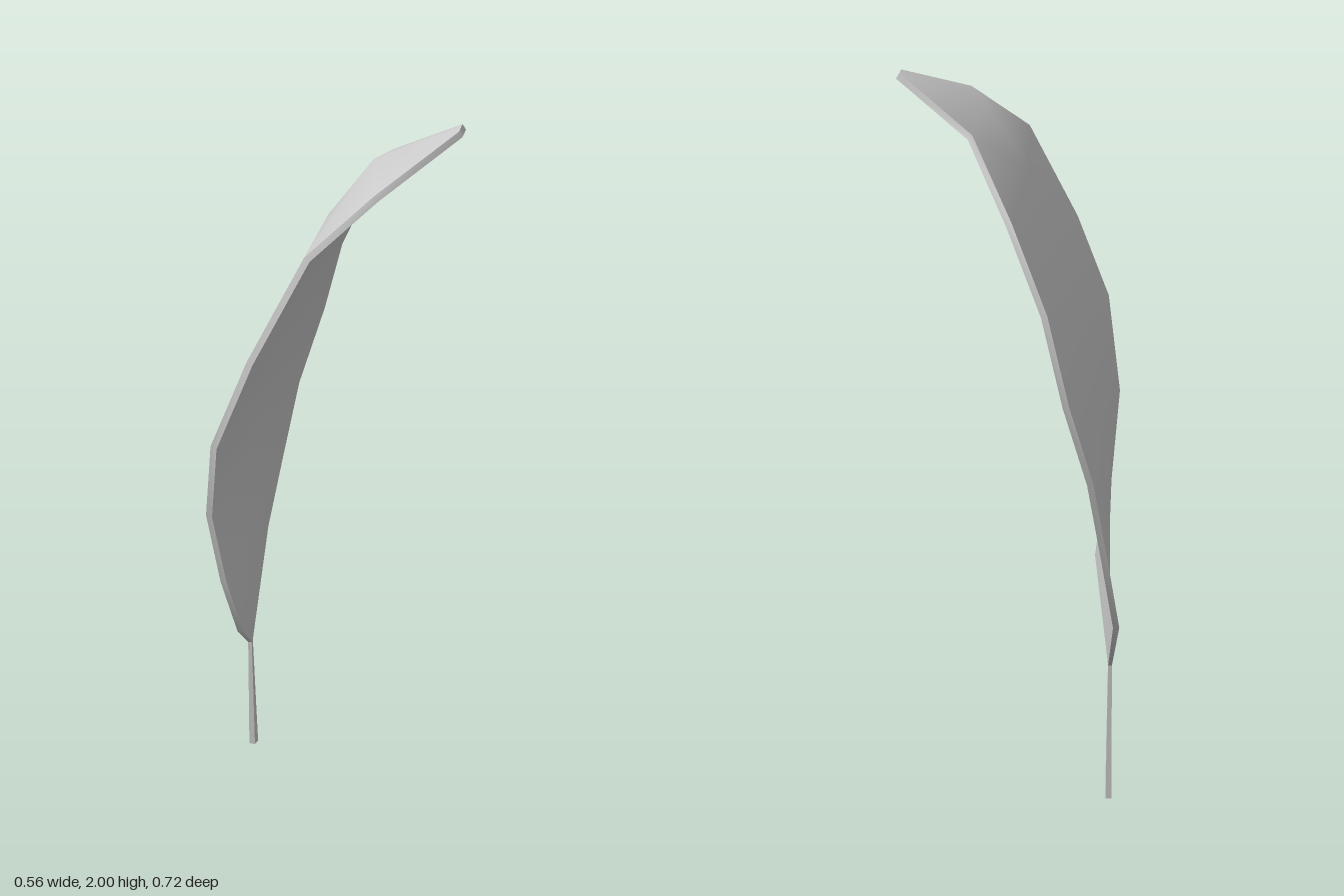
import * as THREE from 'three';
import { toCreasedNormals } from 'three/addons/utils/BufferGeometryUtils.js';

const V = (p) => new THREE.Vector3(...p);

// Thin closed shell lofted through rows of [front edge, back edge, bulge, thickness].
function shell(rows, name, material) {
  const edges = rows.map(([l, r, bulge, thick]) => ({ l: V(l), r: V(r), bulge, thick }));
  edges.forEach((e) => { e.m = e.l.clone().lerp(e.r, 0.5); });
  const pos = [], index = [], n = 6;
  edges.forEach((e, i) => {
    const below = edges[Math.max(i - 1, 0)].m;
    const above = edges[Math.min(i + 1, edges.length - 1)].m;
    const normal = e.r.clone().sub(e.l).cross(above.clone().sub(below)).normalize();
    const mid = e.m.clone().addScaledVector(normal, -e.bulge);
    const outer = [e.l, mid, e.r];
    const inner = outer.map((p) => p.clone().addScaledVector(normal, e.thick)).reverse();
    [...outer, ...inner].forEach((p) => pos.push(p.x, p.y, p.z));
  });
  for (let i = 0; i < rows.length - 1; i++) {
    for (let j = 0; j < n; j++) {
      const a = i * n + j, b = i * n + (j + 1) % n, c = b + n, d = a + n;
      index.push(a, d, c, a, c, b);
    }
  }
  // End caps, split along the middle of the section
  const t = (rows.length - 1) * n;
  [[0, 1, 4, 5], [1, 2, 3, 4]].forEach(([a, b, c, d]) => {
    index.push(a, b, c, a, c, d);
    index.push(t + a, t + c, t + b, t + a, t + d, t + c);
  });
  const geo = new THREE.BufferGeometry();
  geo.setAttribute('position', new THREE.Float32BufferAttribute(pos, 3));
  geo.setIndex(index);
  const mesh = new THREE.Mesh(toCreasedNormals(geo, 0.9), material);
  mesh.name = name;
  return mesh;
}

export function createModel() {
  const group = new THREE.Group();
  group.name = 'leaf';
  const material = new THREE.MeshStandardMaterial({ color: 0xcccccc });

  // Twisted blade curling over towards +x at the tip
  group.add(shell([
    [[-0.262, 0.39, 0.006], [-0.262, 0.39, -0.006], 0, 0.01],
    [[-0.235, 0.61, 0.22], [-0.272, 0.61, -0.228], 0, 0.016],
    [[-0.262, 0.81, 0.27], [-0.24, 0.81, -0.28], 0, 0.016],
    [[-0.282, 1.05, 0.31], [-0.2, 1.04, -0.32], 0.005, 0.016],
    [[-0.25, 1.3, 0.36], [-0.138, 1.26, -0.362], 0.01, 0.016],
    [[-0.165, 1.53, 0.322], [-0.085, 1.48, -0.335], 0.015, 0.016],
    [[-0.04, 1.79, 0.252], [0.0, 1.69, -0.275], 0.022, 0.016],
    [[0.105, 1.915, 0.155], [0.095, 1.87, -0.15], 0.04, 0.016],
    [[0.268, 2.0, -0.03], [0.27, 2.0, -0.068], 0, 0.016],
  ], 'blade', material));

  // Flat stalk widening towards its slanted foot
  group.add(shell([
    [[-0.266, 0.02, 0.01], [-0.266, 0.0, -0.027], 0, 0.016],
    [[-0.262, 0.4, 0.006], [-0.262, 0.4, -0.006], 0, 0.01],
  ], 'stalk', material));

  return group;
}
